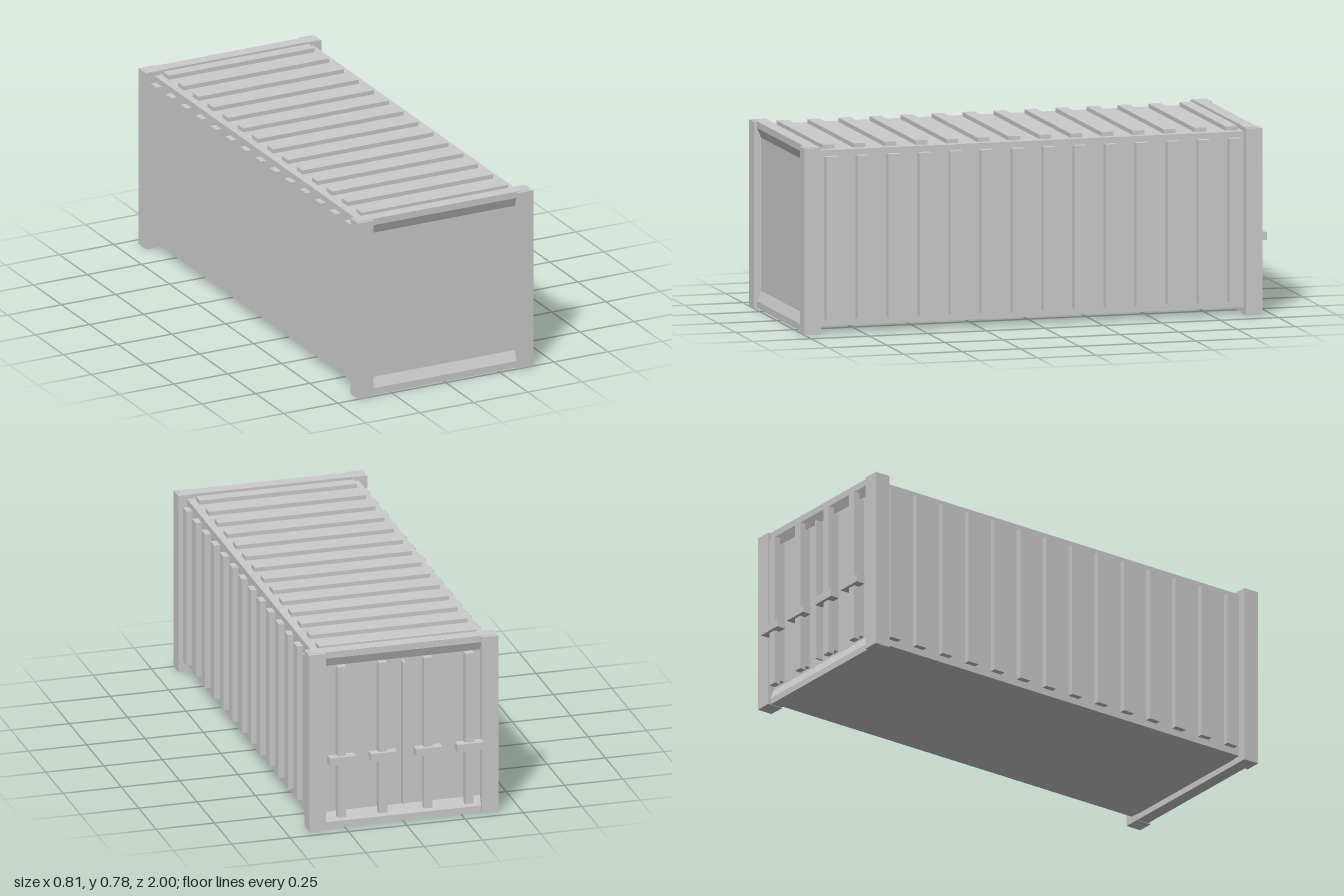
import * as THREE from 'three';

export function createModel() {
  const model = new THREE.Group();
  model.name = 'shippingContainer';
  const steel = new THREE.MeshStandardMaterial({ color: 0xcccccc });
  steel.name = 'light grey steel';

  const add = (parent, name, geometry) => {
    const mesh = new THREE.Mesh(geometry, steel);
    mesh.name = name;
    parent.add(mesh);
    return mesh;
  };
  // box given by its minimum and maximum corners
  const box = (parent, name, x0, x1, y0, y1, z0, z1) => {
    const mesh = add(parent, name, new THREE.BoxGeometry(x1 - x0, y1 - y0, z1 - z0));
    mesh.position.set((x0 + x1) / 2, (y0 + y1) / 2, (z0 + z1) / 2);
    return mesh;
  };
  const group = (name) => {
    const g = new THREE.Group();
    g.name = name;
    model.add(g);
    return g;
  };

  // main shell
  box(model, 'shell', -0.368, 0.368, 0.028, 0.76, -0.93, 0.97);

  // corrugation ribs on roof and both sides
  const ribs = group('ribs');
  const count = 14, half = 0.026;
  for (let i = 0; i < count; i++) {
    const z = 0.878 - i * 0.1327;
    box(ribs, 'roofRib', -0.337, 0.337, 0.755, 0.778, z - half, z + half);
    for (const s of [-1, 1]) {
      const rib = box(ribs, 'sideRib', 0.36, 0.393, 0.057, 0.735, z - half, z + half);
      rib.position.x *= s;
    }
  }

  // end frames: posts plus sloped top and bottom rails
  const railGeometry = (points) => {
    const shape = new THREE.Shape(points.map(([z, y]) => new THREE.Vector2(z, y)));
    const g = new THREE.ExtrudeGeometry(shape, { depth: 0.79, bevelEnabled: false });
    g.translate(0, 0, -0.395);
    g.rotateY(-Math.PI / 2);
    return g;
  };
  const bottomRail = railGeometry([[-0.032, 0.002], [0.022, 0.002], [0.022, 0.03], [0.003, 0.078], [-0.032, 0.078]]);
  const topRail = railGeometry([[-0.032, 0.705], [0.003, 0.705], [0.022, 0.75], [0.022, 0.778], [-0.032, 0.778]]);

  for (const [name, z, turn] of [['frontFrame', 0.965, 0], ['backFrame', -0.924, Math.PI]]) {
    const frame = group(name);
    for (const s of [-1, 1]) {
      const post = box(frame, 'cornerPost', 0.334, 0.405, 0, 0.776, -0.035, 0.035);
      post.position.x *= s;
    }
    add(frame, 'bottomRail', bottomRail);
    add(frame, 'topRail', topRail);
    frame.position.z = z;
    frame.rotation.y = turn;
  }

  // rear doors: seam strip, locking bars and handles
  const doors = group('rearDoors');
  box(doors, 'doorSeam', -0.005, 0.005, 0.08, 0.705, -0.965, -0.925);
  for (const x of [-0.273, -0.097, 0.097, 0.273]) {
    box(doors, 'lockingBar', x - 0.018, x + 0.018, 0.06, 0.722, -0.985, -0.957);
    box(doors, 'barMount', x - 0.012, x + 0.012, 0.08, 0.7, -0.96, -0.925);
    box(doors, 'handle', x - 0.056, x + 0.056, 0.297, 0.33, -1, -0.96);
  }
  return model;
}
